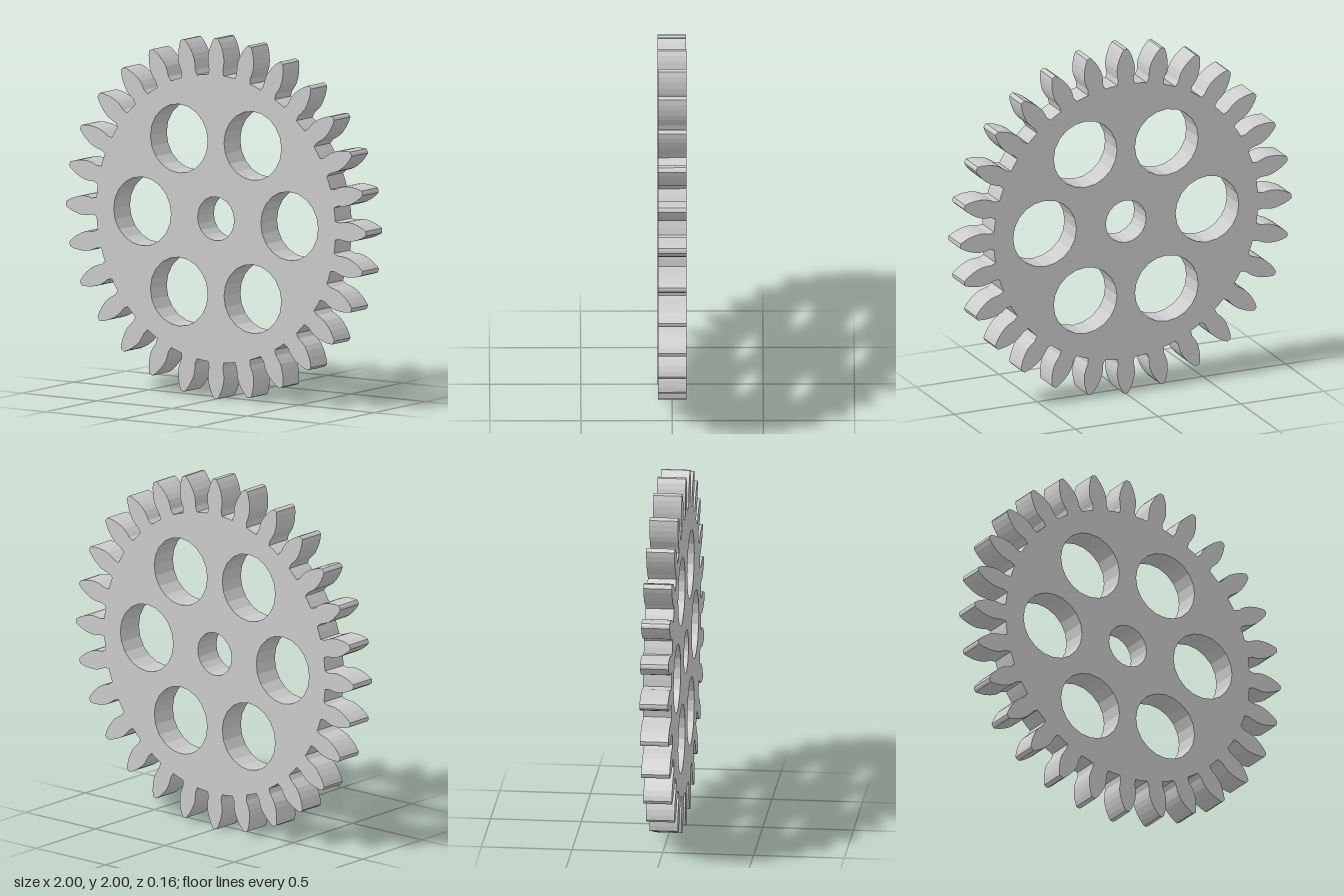
import * as THREE from 'three';

const TEETH = 28;
const DEPTH = 0.157;

// Half tooth profile, root to tip: [radial height, half width]
const FLANK = [
  [0.795, 0.052], [0.825, 0.046], [0.85, 0.051], [0.88, 0.054],
  [0.91, 0.05], [0.945, 0.04], [0.975, 0.027], [0.998, 0.013],
];

// Regular polygon outline for a bored hole
function hole(x, y, radius, sides) {
  const points = [];
  for (let i = 0; i < sides; i++) {
    const a = (-i / sides) * Math.PI * 2;
    points.push(new THREE.Vector2(x + radius * Math.cos(a), y + radius * Math.sin(a)));
  }
  return new THREE.Path(points);
}

function gearOutline() {
  // One symmetric tooth pointing along +x, counter-clockwise
  const tooth = [
    ...FLANK.map(([r, w]) => new THREE.Vector2(r, -w)),
    new THREE.Vector2(1, 0),
    ...[...FLANK].reverse().map(([r, w]) => new THREE.Vector2(r, w)),
  ];
  const origin = new THREE.Vector2();
  const points = [];
  for (let i = 0; i < TEETH; i++) {
    const angle = (i / TEETH) * Math.PI * 2;
    for (const p of tooth) points.push(p.clone().rotateAround(origin, angle));
    // Middle of the root between two teeth
    const mid = angle + Math.PI / TEETH;
    points.push(new THREE.Vector2(0.797 * Math.cos(mid), 0.797 * Math.sin(mid)));
  }
  return new THREE.Shape(points);
}

export function createModel() {
  const group = new THREE.Group();
  group.name = 'spurGear';

  // Toothed disc with an axle bore and six lightening holes
  const shape = gearOutline();
  shape.holes.push(hole(0, 0, 0.122, 20));
  for (let i = 0; i < 6; i++) {
    const a = (i * Math.PI) / 3;
    shape.holes.push(hole(0.49 * Math.cos(a), 0.49 * Math.sin(a), 0.191, 20));
  }

  const geometry = new THREE.ExtrudeGeometry(shape, { depth: DEPTH, bevelEnabled: false });
  geometry.translate(0, 1, -DEPTH / 2);

  const gear = new THREE.Mesh(
    geometry,
    new THREE.MeshStandardMaterial({ color: 0xcccccc, flatShading: true }),
  );
  gear.name = 'gearWheel';
  group.add(gear);
  return group;
}
